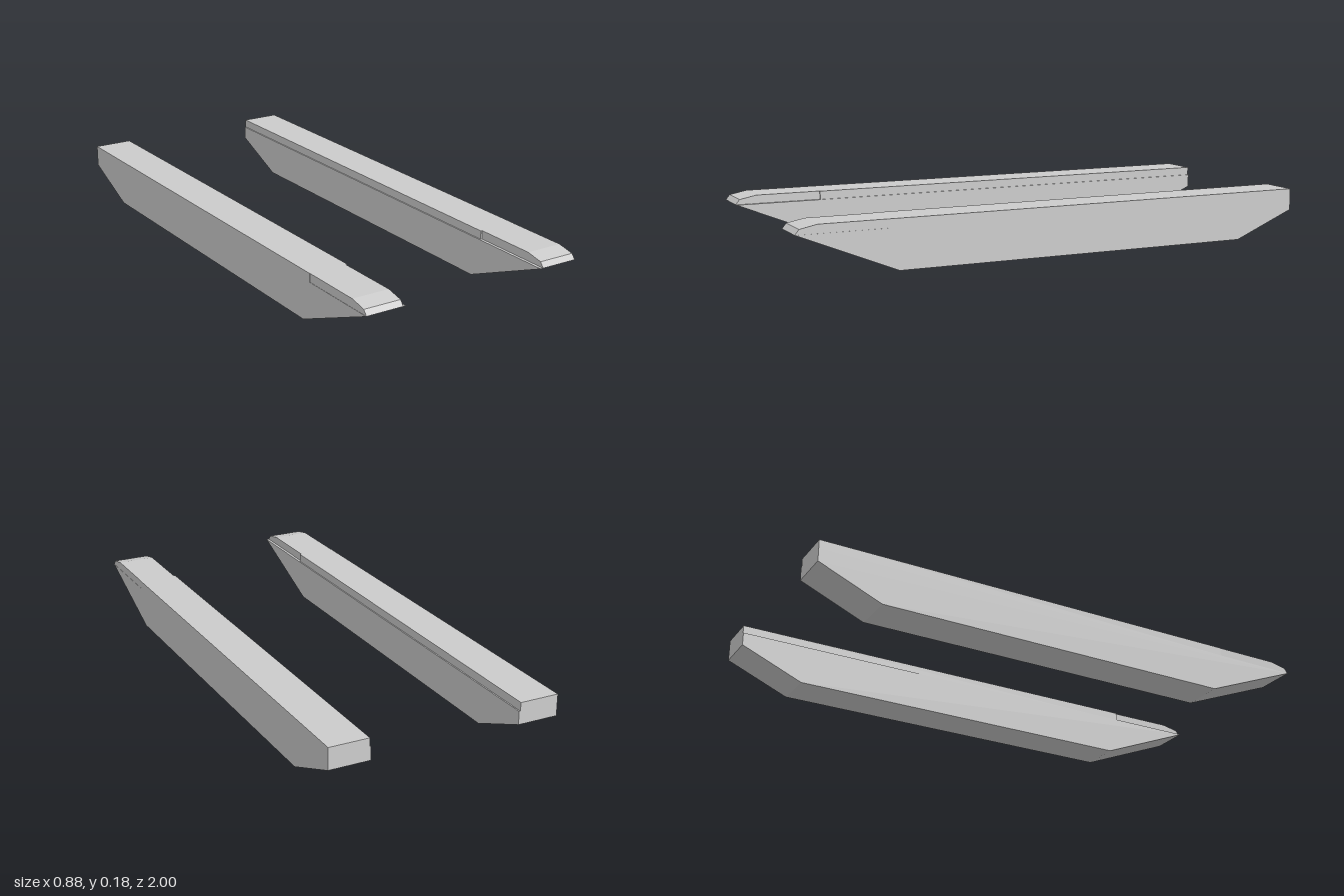
import * as THREE from 'three';

const material = new THREE.MeshStandardMaterial({ color: 0xcccccc, flatShading: true });

// Extrudes a side profile of [z, y] points from x0 to x1
function slab(name, points, x0, x1) {
  const shape = new THREE.Shape(points.map(([z, y]) => new THREE.Vector2(-z, y)));
  const geometry = new THREE.ExtrudeGeometry(shape, { depth: x1 - x0, bevelEnabled: false });
  geometry.rotateY(Math.PI / 2);
  geometry.translate(x0, 0, 0);
  const mesh = new THREE.Mesh(geometry, material);
  mesh.name = name;
  return mesh;
}

// One long runner; side is +1 for left, -1 for right
function runner(name, side) {
  const group = new THREE.Group();
  group.name = name;
  const add = (part, points, inner, outer) => {
    const [a, b] = [inner * side, outer * side];
    group.add(slab(part, points, Math.min(a, b), Math.max(a, b)));
  };
  // Lower body with sloped ends
  add('runnerBody', [[1, 0.15], [0.63, 0], [-0.76, 0], [-1, 0.1], [-1, 0.15]], 0.285, 0.441);
  // Top rail, slightly narrower than the body on the inside
  add('topRail', [[0.67, 0.15], [-1, 0.15], [-1, 0.182], [0.67, 0.182]], 0.29, 0.441);
  // Stepped-in nose of the rail with a chamfered tip
  add('railNose', [[1, 0.15], [0.67, 0.15], [0.67, 0.182], [0.92, 0.182], [0.985, 0.169]], 0.296, 0.44);
  return group;
}

export function createModel() {
  const model = new THREE.Group();
  model.name = 'runnerPair';
  model.add(runner('leftRunner', 1), runner('rightRunner', -1));
  return model;
}
